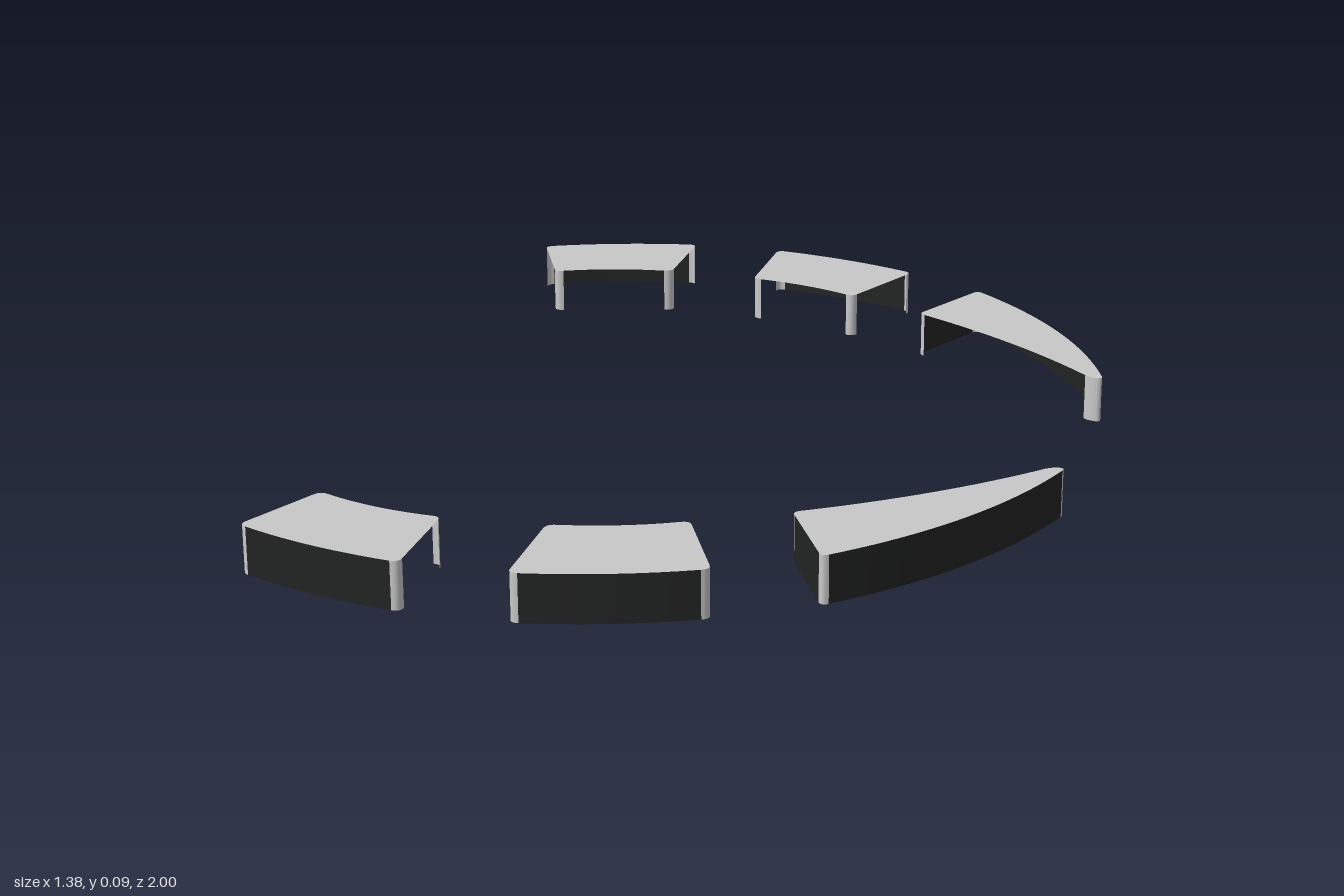
import * as THREE from 'three';

const HEIGHT = 0.093;
const light = new THREE.MeshStandardMaterial({ color: 0xc8c8c8, side: THREE.DoubleSide });
light.name = 'lightGrey';
const dark = new THREE.MeshStandardMaterial({ color: 0x222323, side: THREE.DoubleSide });
dark.name = 'nearBlack';

const v = (x, z) => new THREE.Vector2(x, z);

// Arc-like edge from a to b passing through m
function edgeCurve(a, m, b) {
  const control = m.clone().multiplyScalar(2).sub(a.clone().add(b).multiplyScalar(0.5));
  return new THREE.QuadraticBezierCurve(a, control, b);
}

// Upright strip following a plan path
function wall(points, material, name) {
  const position = [], index = [];
  points.forEach((p, i) => {
    position.push(p.x, 0, p.y, p.x, HEIGHT, p.y);
    if (i) {
      const a = 2 * i - 2;
      index.push(a, a + 1, a + 2, a + 1, a + 3, a + 2);
    }
  });
  const geometry = new THREE.BufferGeometry();
  geometry.setAttribute('position', new THREE.Float32BufferAttribute(position, 3));
  geometry.setIndex(index);
  geometry.computeVertexNormals();
  const mesh = new THREE.Mesh(geometry, material);
  mesh.name = name;
  return mesh;
}

// One hollow segment: top plate, rounded corner strips and the closed walls.
// Corners run: outer start, outer end, inner end, inner start.
function segment({ name, corners, outerMid, innerMid, walls, radius }, side) {
  const group = new THREE.Group();
  group.name = name;
  const c = corners.map(([x, z]) => v(x, z * side));
  const mid = (a, b) => a.clone().add(b).multiplyScalar(0.5);
  const mids = [v(outerMid[0], outerMid[1] * side), mid(c[1], c[2]),
    v(innerMid[0], innerMid[1] * side), mid(c[3], c[0])];

  // Trim each edge near its ends to leave room for the rounding
  const edges = c.map((a, i) => {
    const curve = edgeCurve(a, mids[i], c[(i + 1) % 4]);
    const trim = radius / curve.getLength();
    const steps = i % 2 ? 1 : 20;
    return Array.from({ length: steps + 1 }, (_, k) =>
      curve.getPointAt(trim + (1 - 2 * trim) * k / steps));
  });

  const outline = [];
  edges.forEach((edge, i) => {
    const next = edges[(i + 1) % 4];
    const corner = new THREE.QuadraticBezierCurve(edge[edge.length - 1], c[(i + 1) % 4], next[0]).getPoints(6);
    outline.push(...edge, ...corner.slice(1, -1));
    group.add(wall(side < 0 ? corner : [...corner].reverse(), light, 'roundedCorner'));
    if (walls.includes(i)) {
      group.add(wall(side < 0 ? edge : [...edge].reverse(), dark, i === 0 ? 'outerWall' : 'endWall'));
    }
  });

  // Top plate
  const plate = new THREE.ShapeGeometry(new THREE.Shape(outline.map((p) => v(p.x, -p.y))));
  plate.rotateX(-Math.PI / 2).translate(0, HEIGHT, 0);
  const top = new THREE.Mesh(plate, light);
  top.name = 'topPlate';
  group.add(top);
  return group;
}

const SEGMENTS = [
  { name: 'endSegment', corners: [[-0.697, 0.905], [-0.359, 1.003], [-0.359, 0.783], [-0.615, 0.718]],
    outerMid: [-0.535, 0.967], innerMid: [-0.49, 0.765], walls: [0], radius: 0.018 },
  { name: 'middleSegment', corners: [[-0.163, 1.003], [0.172, 0.902], [0.079, 0.695], [-0.165, 0.773]],
    outerMid: [0.01, 0.965], innerMid: [-0.035, 0.745], walls: [0], radius: 0.018 },
  { name: 'wedgeSegment', corners: [[0.342, 0.8], [0.692, 0.265], [0.678, 0.258], [0.246, 0.607]],
    outerMid: [0.556, 0.555], innerMid: [0.472, 0.45], walls: [0, 3], radius: 0.016 },
];
// The wedge tip is narrow, so its short edge is widened to suit the rounding
SEGMENTS[2].corners[2] = [0.664, 0.268];

export function createModel() {
  const model = new THREE.Group();
  model.name = 'segmentedRing';
  for (const side of [1, -1]) {
    for (const spec of SEGMENTS) {
      const part = segment(spec, side);
      part.name = (side > 0 ? 'front' : 'back') + spec.name[0].toUpperCase() + spec.name.slice(1);
      model.add(part);
    }
  }
  return model;
}
